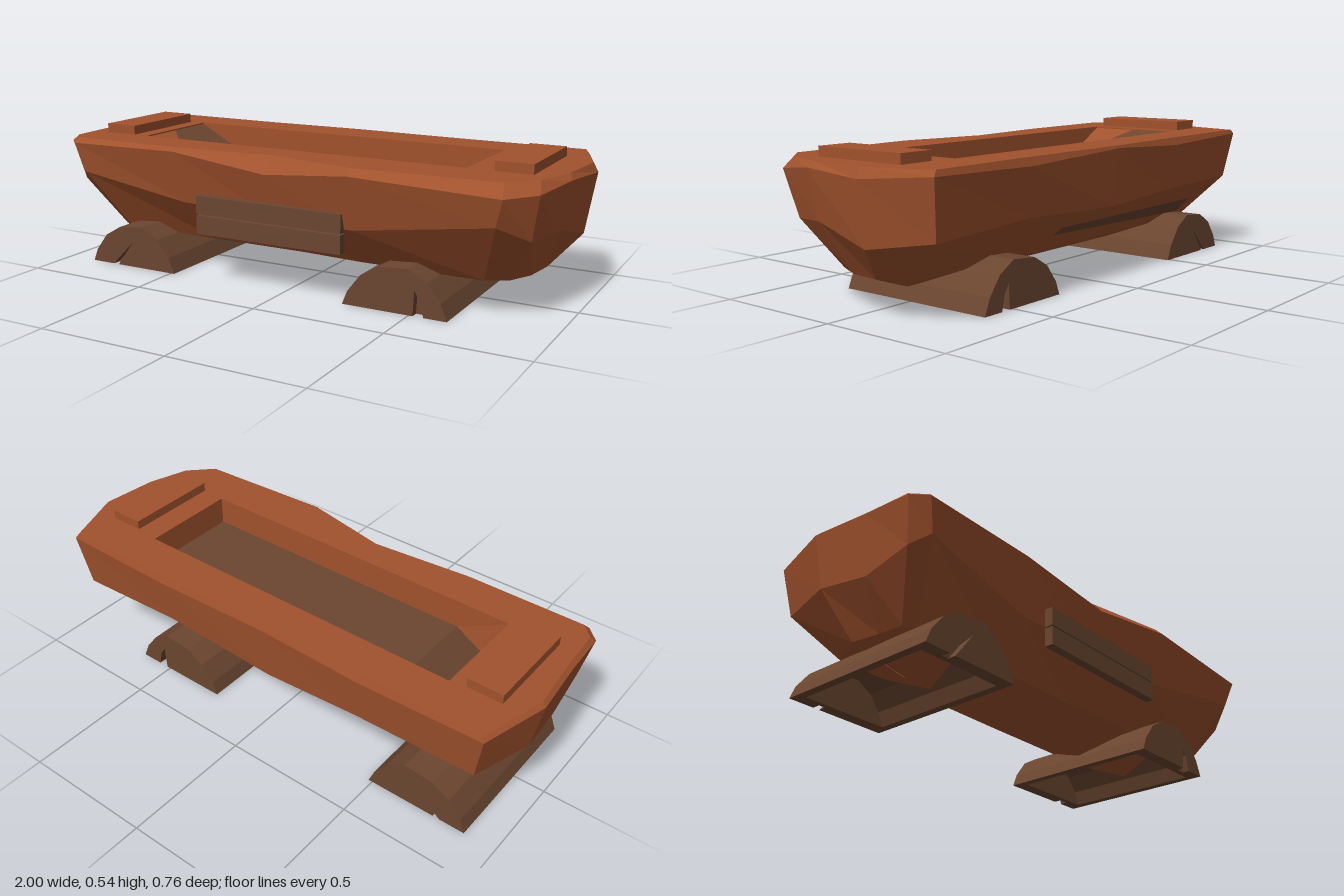
import * as THREE from 'three';

const wood = new THREE.MeshStandardMaterial({ color: 0xa0522d });
wood.name = 'reddish wood';
const darkWood = new THREE.MeshStandardMaterial({ color: 0x6b4630 });
darkWood.name = 'dark wood';

// Faceted mesh from a flat list of triangle corners
function facets(name, corners, material) {
  const geo = new THREE.BufferGeometry().setFromPoints(corners);
  geo.computeVertexNormals();
  const mesh = new THREE.Mesh(geo, material);
  mesh.name = name;
  return mesh;
}

const quad = (a, b, c, d) => [a, b, c, a, c, d];
const vec = (x, y, z) => new THREE.Vector3(x, y, z);

// Box given by its minimum and maximum corners
function box(name, [x0, y0, z0], [x1, y1, z1], material) {
  const mesh = new THREE.Mesh(new THREE.BoxGeometry(x1 - x0, y1 - y0, z1 - z0), material);
  mesh.position.set((x0 + x1) / 2, (y0 + y1) / 2, (z0 + z1) / 2);
  mesh.name = name;
  return mesh;
}

const FLOOR = 0.39;

// Widest outline as x, z, edge height, lift of the belly crease
const OUTLINE = [
  [-0.97, 0.29, 0.48, 0.05], [-0.92, 0.34, 0.48, 0.09], [-0.45, 0.335, 0.485, 0.01], [-0.05, 0.345, 0.44, 0],
  [0.3, 0.38, 0.475, 0], [0.84, 0.375, 0.455, 0.08], [0.93, 0.28, 0.46, 0.02], [0.98, 0.1, 0.48, 0.03],
  [1, -0.15, 0.465, -0.03], [0.91, -0.38, 0.48, 0], [0.45, -0.38, 0.47, 0.02], [-0.05, -0.385, 0.49, 0],
  [-0.45, -0.38, 0.47, 0.02], [-0.93, -0.38, 0.485, 0.03], [-1, -0.12, 0.485, 0.02], [-0.98, 0.1, 0.485, 0],
];

// Carved hull: a flat rim with chipped edges, then rings shrinking down to a keel line
function hull() {
  const rings = [
    OUTLINE.map(([x, z, y]) => vec(x * 0.985, 0.5, z - Math.sign(z) * (0.5 - y) * (z > 0 ? 1 : 0.3))),
    OUTLINE.map(([x, z, y]) => vec(x, y, z)),
    OUTLINE.map(([x, z, , lift]) => vec(x * 0.965, 0.275 + lift, z * (z > 0 ? 0.85 + lift : 0.93))),
    OUTLINE.map(([x, z]) => vec(x * 0.86, 0.125, z * 0.5)),
    OUTLINE.map(([x]) => vec(x * 0.67, 0.06, -0.02)),
  ];
  const corners = [];
  const n = OUTLINE.length;
  for (let r = 0; r < rings.length - 1; r++) {
    for (let i = 0; i < n; i++) {
      const k = (i + 1) % n;
      corners.push(...quad(rings[r][i], rings[r + 1][i], rings[r + 1][k], rings[r][k]));
    }
  }

  // Rim around the rectangular hollow
  const hole = [[-0.7, 0.165], [-0.7, -0.215], [0.64, -0.215], [0.64, 0.165]];
  const rim = [...rings[0], ...hole.map(([x, z]) => vec(x, 0.5, z))];
  const flat = rim.map(p => new THREE.Vector2(p.x, -p.z));
  const faces = THREE.ShapeUtils.triangulateShape(flat.slice(0, n), [flat.slice(n)]);
  faces.forEach(f => corners.push(...f.map(i => rim[i])));

  // Inner walls of the hollow
  hole.forEach(([x, z], i) => {
    const [u, w] = hole[(i + 1) % 4];
    corners.push(...quad(vec(x, 0.5, z), vec(x, FLOOR, z), vec(u, FLOOR, w), vec(u, 0.5, w)));
  });
  // Sloping corner at the end of the hollow
  corners.push(vec(-0.7, 0.495, -0.02), vec(-0.7, 0.495, 0.165), vec(-0.5, FLOOR, 0.165));
  return facets('hull', corners, wood);
}

// Floor of the hollow with its sloping end
function hollowFloor() {
  return facets('hollowFloor', [
    ...quad(vec(-0.7, FLOOR, 0.165), vec(0.64, FLOOR, 0.165), vec(0.64, FLOOR, -0.215), vec(-0.7, FLOOR, -0.215)),
    ...quad(vec(-0.7, 0.495, -0.215), vec(-0.7, 0.495, -0.02), vec(-0.5, FLOOR, 0.165), vec(-0.5, FLOOR, -0.215)),
  ], darkWood);
}

// Hollow half-log support with a cracked plate at each end
function support(name, x, crack) {
  const arch = [[-0.2, 0], [-0.18, 0.05], [-0.13, 0.115], [-0.06, 0.155], [0.05, 0.165], [0.12, 0.125], [0.17, 0.06], [0.195, 0]];
  const inner = arch.map(([a, b]) => [a * 0.85, b * 0.84]);
  const group = new THREE.Group();
  group.name = name;
  group.position.set(x, 0, -0.015);
  const extrude = (part, points, z, depth) => {
    const shape = new THREE.Shape(points.map(([a, b]) => new THREE.Vector2(a, b)));
    const mesh = new THREE.Mesh(new THREE.ExtrudeGeometry(shape, { depth, bevelEnabled: false }), darkWood);
    mesh.position.z = z - depth / 2;
    mesh.name = part;
    group.add(mesh);
  };
  extrude('logShell', [...arch, ...[...inner].reverse()], 0, 0.58);
  for (const side of [-1, 1]) {
    extrude('crackedEnd', [...arch, ...crack], side * 0.305, 0.03);
    extrude('endBacking', inner, side * 0.28, 0.02);
  }
  return group;
}

export function createModel() {
  const model = new THREE.Group();
  model.name = 'trough';
  model.add(hull(), hollowFloor());

  // Strip along the back of the belly
  model.add(facets('bellyStrip', quad(
    vec(0.2, 0.225, -0.312), vec(0.2, 0.195, -0.275), vec(-0.7, 0.165, -0.24), vec(-0.7, 0.225, -0.302)), darkWood));

  // Slabs across both ends of the rim
  for (const x of [-0.825, 0.805]) {
    model.add(box('endSlab', [x - 0.067, 0.47, -0.205], [x + 0.067, 0.535, 0.17], wood));
  }

  // Two boards on the front
  for (const y of [0.19, 0.264]) {
    model.add(box('frontBoard', [-0.34, y, 0.315], [0.26, y + 0.069, 0.348], darkWood));
  }

  model.add(support('rightSupport', -0.68, [[-0.075, 0], [0, 0.1], [-0.1, 0]]));
  model.add(support('leftSupport', 0.445, [[0.11, 0], [0.095, 0.06], [0.075, 0.09], [0.07, 0]]));
  return model;
}
